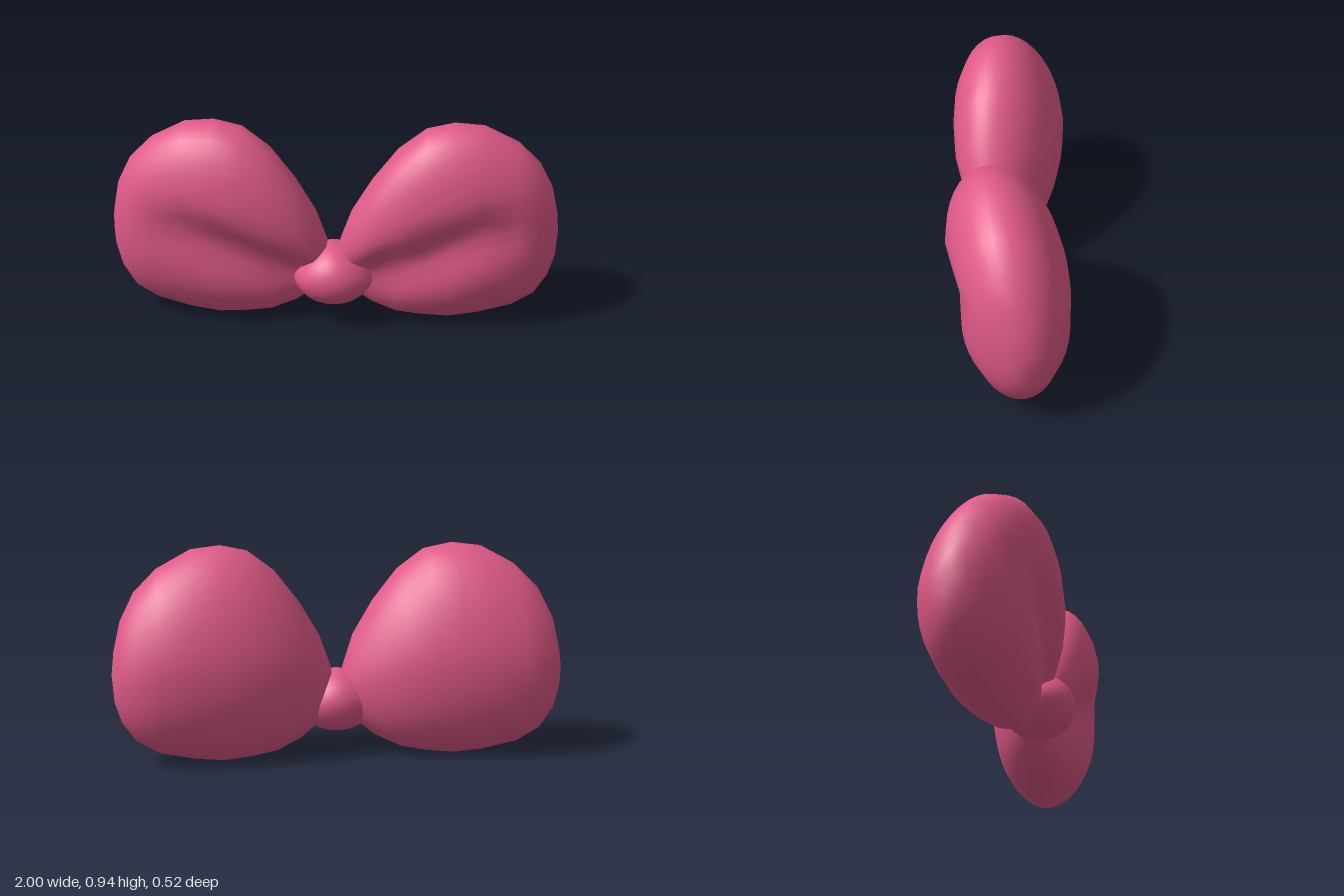
import * as THREE from 'three';

// Lobe stations running outward: x, top y, bottom y, front z, back z
const STATIONS = [
  [0.03, 0.40, 0.21, 0.11, -0.01],
  [0.08, 0.54, 0.15, 0.17, -0.07],
  [0.17, 0.69, 0.08, 0.215, -0.135],
  [0.28, 0.83, 0.03, 0.245, -0.195],
  [0.40, 0.92, 0.01, 0.255, -0.23],
  [0.52, 0.945, 0.0, 0.255, -0.25],
  [0.65, 0.93, 0.015, 0.235, -0.257],
  [0.80, 0.85, 0.05, 0.195, -0.25],
  [0.90, 0.75, 0.105, 0.14, -0.21],
  [0.96, 0.63, 0.19, 0.07, -0.165],
  [0.99, 0.50, 0.28, 0.0, -0.11],
];
const INNER_TIP = [0.025, 0.30, 0.05];
const OUTER_TIP = [1.0, 0.40, -0.055];
const SIDES = 40;

// Depth of the fold pressed into the front of a lobe, sharper above than below
function foldDepth(x, y) {
  const fold = 0.29 + (x - 0.2) * 0.45;
  const strength = 0.085 * THREE.MathUtils.smoothstep(x, 0.0, 0.2) * (1 - THREE.MathUtils.smoothstep(x, 0.5, 0.9));
  const width = y > fold ? 0.09 : 0.17;
  return strength * Math.exp(-(((y - fold) / width) ** 2));
}

// Puffed lobe lofted through tilted oval sections; side is +1 or -1
function lobeGeometry(side) {
  const points = [];
  const index = [];
  const add = (x, y, z) => points.push(side * x, y, z);
  const face = (a, b, c) => (side > 0 ? index.push(a, b, c) : index.push(a, c, b));

  for (const [x, top, bottom, front, back] of STATIONS) {
    const half = (top - bottom) / 2;
    const depth = (front - back) / 2;
    for (let j = 0; j < SIDES; j++) {
      const t = (j / SIDES) * Math.PI * 2;
      const c = Math.cos(t);
      const s = Math.sin(t);
      const y = (top + bottom) / 2 + half * c;
      const tilt = depth * (c > 0 ? 0.23 : 0.1) * c;
      const dent = s > 0 ? foldDepth(x, y) * Math.min(1, s * 2) : 0;
      add(x, y, (front + back) / 2 + depth * s + tilt - dent);
    }
  }
  const inner = STATIONS.length * SIDES;
  add(...INNER_TIP);
  add(...OUTER_TIP);

  const last = (STATIONS.length - 1) * SIDES;
  for (let j = 0; j < SIDES; j++) {
    const k = (j + 1) % SIDES;
    for (let i = 0; i < last; i += SIDES) {
      face(i + j, i + k, i + SIDES + j);
      face(i + k, i + SIDES + k, i + SIDES + j);
    }
    face(inner, k, j);
    face(inner + 1, last + j, last + k);
  }

  const geometry = new THREE.BufferGeometry();
  geometry.setAttribute('position', new THREE.Float32BufferAttribute(points, 3));
  geometry.setIndex(index);
  geometry.computeVertexNormals();
  return geometry;
}

// Round knot, a little narrower towards the top
function knotGeometry() {
  const geometry = new THREE.SphereGeometry(1, 28, 18);
  const p = geometry.attributes.position;
  for (let i = 0; i < p.count; i++) {
    const y = p.getY(i);
    p.setX(i, p.getX(i) * (1 - 0.28 * Math.max(0, y)));
  }
  geometry.scale(0.18, 0.142, 0.163);
  geometry.computeVertexNormals();
  return geometry;
}

export function createModel() {
  const bow = new THREE.Group();
  bow.name = 'bow';
  const pink = new THREE.MeshStandardMaterial({ color: 0xe05a88 });
  pink.name = 'pink';

  for (const side of [1, -1]) {
    const lobe = new THREE.Mesh(lobeGeometry(side), pink);
    lobe.name = side > 0 ? 'leftLobe' : 'rightLobe';
    bow.add(lobe);
  }

  const knot = new THREE.Mesh(knotGeometry(), pink);
  knot.name = 'knot';
  knot.position.set(0, 0.24, 0.07);
  bow.add(knot);

  return bow;
}
